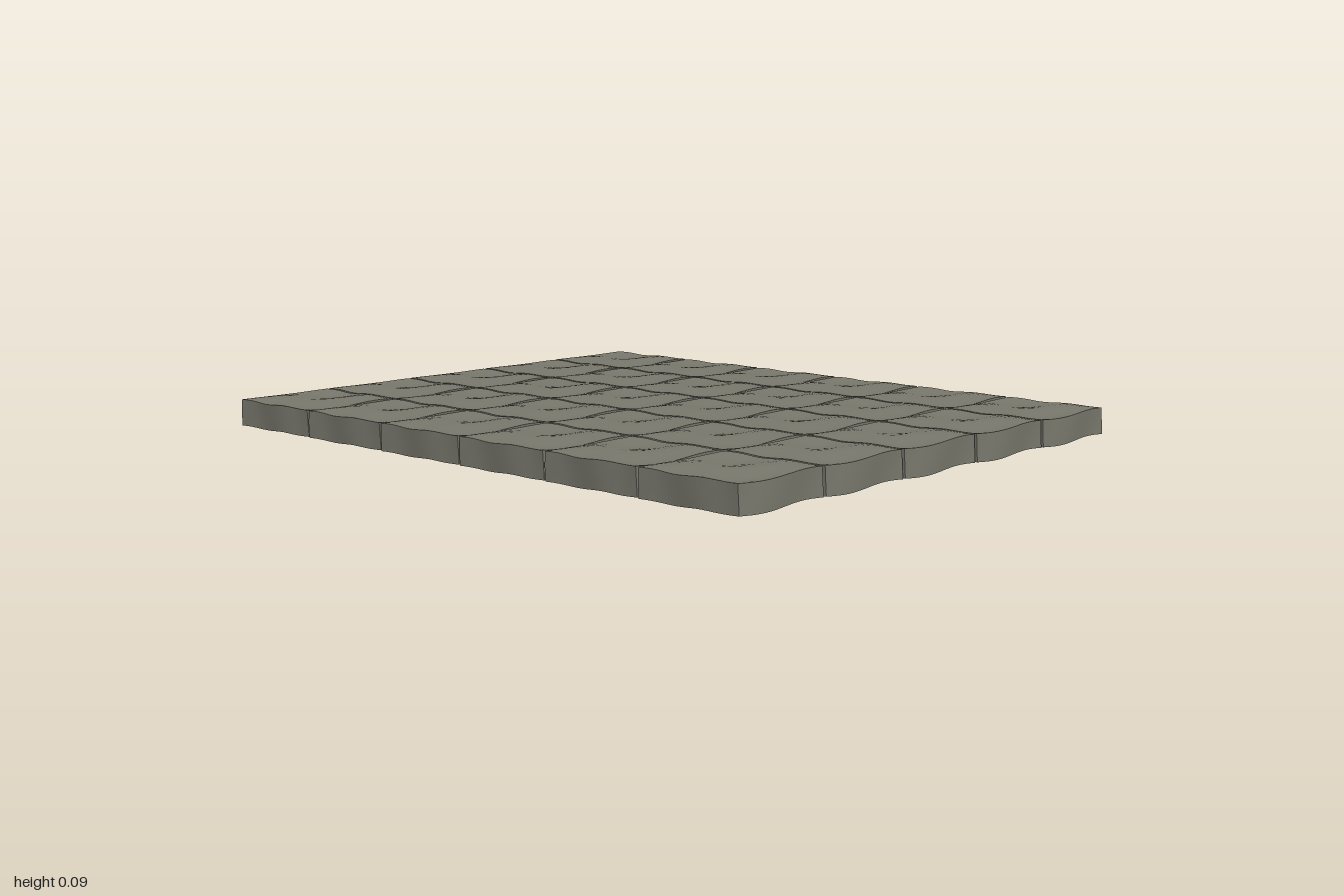
import * as THREE from 'three';

const COLS = 6, ROWS = 5;
const PITCH_X = 0.3337, PITCH_Z = 0.3285;
const WIDTH = 0.324, DEPTH = 0.318, THICK = 0.079;

// One worn stone slab: a box bent by gentle waves, edges kept sharp
function slabGeometry() {
  const geo = new THREE.BoxGeometry(WIDTH, THICK, DEPTH, 14, 2, 14);
  const p = geo.attributes.position;
  const TAU = Math.PI * 2;
  for (let i = 0; i < p.count; i++) {
    const x = p.getX(i), y = p.getY(i), z = p.getZ(i);
    const u = x / WIDTH, v = z / DEPTH; // -0.5 to 0.5 across the slab
    const lift = 0.0065 * Math.cos(TAU * (v - 0.22)) * Math.cos(TAU * (u * 0.9 + 0.2))
      + 0.0015 * Math.sin(TAU * 2 * u);
    p.setXYZ(i,
      x + 0.0035 * Math.sin(TAU * (v + 0.15) + y * 20),
      y + lift,
      z + 0.003 * Math.sin(TAU * (1.5 * u + 0.1) + y * 20));
  }
  geo.computeVertexNormals();
  return geo;
}

export function createModel() {
  const model = new THREE.Group();
  model.name = 'stoneFloor';
  const stone = new THREE.MeshStandardMaterial({ color: 0x77766b });
  stone.name = 'grey stone';
  const geo = slabGeometry();

  // Grid of paving slabs
  for (let r = 0; r < ROWS; r++) {
    const row = new THREE.Group();
    row.name = `slabRow${r + 1}`;
    for (let c = 0; c < COLS; c++) {
      const slab = new THREE.Mesh(geo, stone);
      slab.name = `slab${r + 1}x${c + 1}`;
      slab.position.set((c - (COLS - 1) / 2) * PITCH_X, 0.049, (r - (ROWS - 1) / 2) * PITCH_Z);
      row.add(slab);
    }
    model.add(row);
  }
  return model;
}
